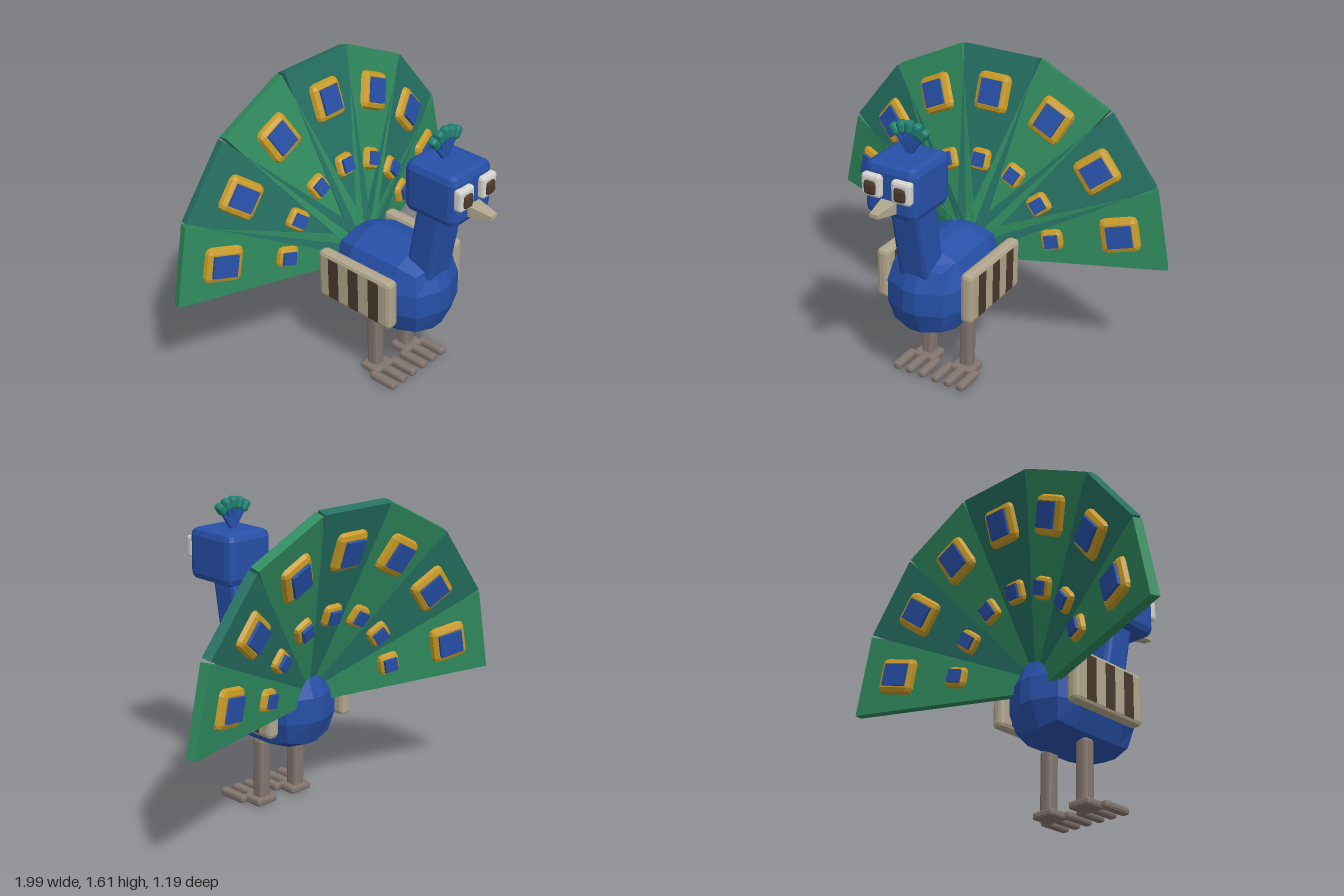
import * as THREE from 'three';
import { RoundedBoxGeometry } from 'three/addons/geometries/RoundedBoxGeometry.js';

const paint = (name, color) => {
  const m = new THREE.MeshStandardMaterial({ color });
  m.name = name;
  return m;
};

// Chamfered box with faceted edges
function softBox(w, h, d, r) {
  const g = new RoundedBoxGeometry(w, h, d, 1, r);
  g.computeVertexNormals(); // non-indexed, so this gives flat facets
  return g;
}

// Box whose section along y goes from (w0, d0) at y = 0 to (w1, d1) at y = h
function taperedBox(w0, d0, w1, d1, h) {
  const g = new THREE.BoxGeometry(1, h, 1).translate(0, h / 2, 0).toNonIndexed();
  const p = g.attributes.position;
  for (let i = 0; i < p.count; i++) {
    const t = p.getY(i) / h;
    p.setX(i, p.getX(i) * THREE.MathUtils.lerp(w0, w1, t));
    p.setZ(i, p.getZ(i) * THREE.MathUtils.lerp(d0, d1, t));
  }
  g.computeVertexNormals();
  return g;
}

export function createModel() {
  const blue = paint('royal blue', 0x2750a8);
  const green = paint('feather green', 0x2f8a5e);
  const teal = paint('feather teal', 0x257062);
  const gold = paint('gold', 0xc79a26);
  const beige = paint('beige', 0xb0a68c);
  const grey = paint('leg grey', 0x82756e);
  const brown = paint('dark brown', 0x4a382c);
  const white = paint('eye white', 0xd6d4ce);
  const crestGreen = paint('crest green', 0x1f8070);

  const model = new THREE.Group();
  model.name = 'bird';
  const add = (name, geometry, material, x, y, z, parent = model) => {
    const mesh = new THREE.Mesh(geometry, material);
    mesh.name = name;
    mesh.position.set(x, y, z);
    parent.add(mesh);
    return mesh;
  };

  // Body, neck and head
  add('body', softBox(0.43, 0.485, 0.66, 0.18), blue, 0, 0.5575, -0.01);
  add('neck', softBox(0.175, 0.47, 0.162, 0.025), blue, 0, 0.92, 0.245).rotation.x = 0.185;
  add('head', softBox(0.29, 0.275, 0.315, 0.04), blue, 0, 1.2275, 0.318);
  const beak = add('beak', taperedBox(0.09, 0.065, 0.045, 0.02, 0.14), beige, 0, 1.16, 0.46);
  beak.rotation.x = Math.PI / 2;

  // Crest: five stalks fanning out, each with a tip
  const crest = new THREE.Group();
  crest.name = 'crest';
  crest.position.set(0, 1.36, 0.296);
  model.add(crest);
  for (let i = -2; i <= 2; i++) {
    const plume = new THREE.Group();
    plume.name = 'crestPlume';
    plume.rotation.z = -i * 0.31;
    crest.add(plume);
    add('crestStalk', new THREE.BoxGeometry(0.02, 0.13, 0.02), blue, 0, 0.06, 0, plume);
    add('crestTip', softBox(0.042, 0.065, 0.048, 0.015), crestGreen, 0, 0.135, 0, plume);
  }

  for (const s of [1, -1]) {
    // Eyes
    add('eye', softBox(0.105, 0.115, 0.05, 0.015), white, s * 0.083, 1.256, 0.483);
    add('pupil', softBox(0.068, 0.075, 0.04, 0.018), brown, s * 0.083, 1.25, 0.501);

    // Wing panel with three dark bars
    add('wing', softBox(0.068, 0.275, 0.485, 0.022), beige, s * 0.249, 0.5875, -0.048);
    for (const z of [0.088, -0.048, -0.184])
      add('wingBar', new THREE.BoxGeometry(0.074, 0.232, 0.066), brown, s * 0.249, 0.586, z);

    // Leg and three-toed foot
    const x = s * 0.118;
    add('leg', softBox(0.07, 0.345, 0.07, 0.018), grey, x, 0.1875, -0.05);
    add('foot', softBox(0.13, 0.04, 0.12, 0.012), grey, x, 0.025, -0.04);
    for (const t of [-0.077, 0, 0.077])
      add('toe', softBox(0.046, 0.042, 0.17, 0.014), grey, x + t, 0.024, 0.075);
  }

  // Tail fan: seven leaning feathers with eyespots that show on both faces
  const LEAN = 0.319, STEP = THREE.MathUtils.degToRad(26), THICK = 0.05, LENGTH = 1.025;
  const featherShape = taperedBox(0.125, THICK, 0.43, THICK, LENGTH);
  const spots = [
    { y: 0.81, w: 0.19, h: 0.2, r: 0.03, iw: 0.115, ih: 0.13 },
    { y: 0.46, w: 0.11, h: 0.115, r: 0.026, iw: 0.066, ih: 0.07 },
  ];
  const tail = new THREE.Group();
  tail.name = 'tail';
  tail.position.set(0, 0.637, -0.22);
  model.add(tail);
  for (let i = -3; i <= 3; i++) {
    const feather = new THREE.Group();
    feather.name = 'tailFeather';
    feather.rotation.set(-LEAN, 0, -i * STEP, 'ZYX');
    tail.add(feather);
    add('featherBlade', featherShape, i % 2 ? green : teal, 0, 0, -THICK / 2, feather);
    for (const { y, w, h, r, iw, ih } of spots) {
      add('spotRim', softBox(w, h, THICK + 0.06, r), gold, 0, y, -THICK / 2, feather);
      add('spotCentre', new THREE.BoxGeometry(iw, ih, THICK + 0.09), blue, 0, y, -THICK / 2, feather);
    }
  }
  return model;
}
